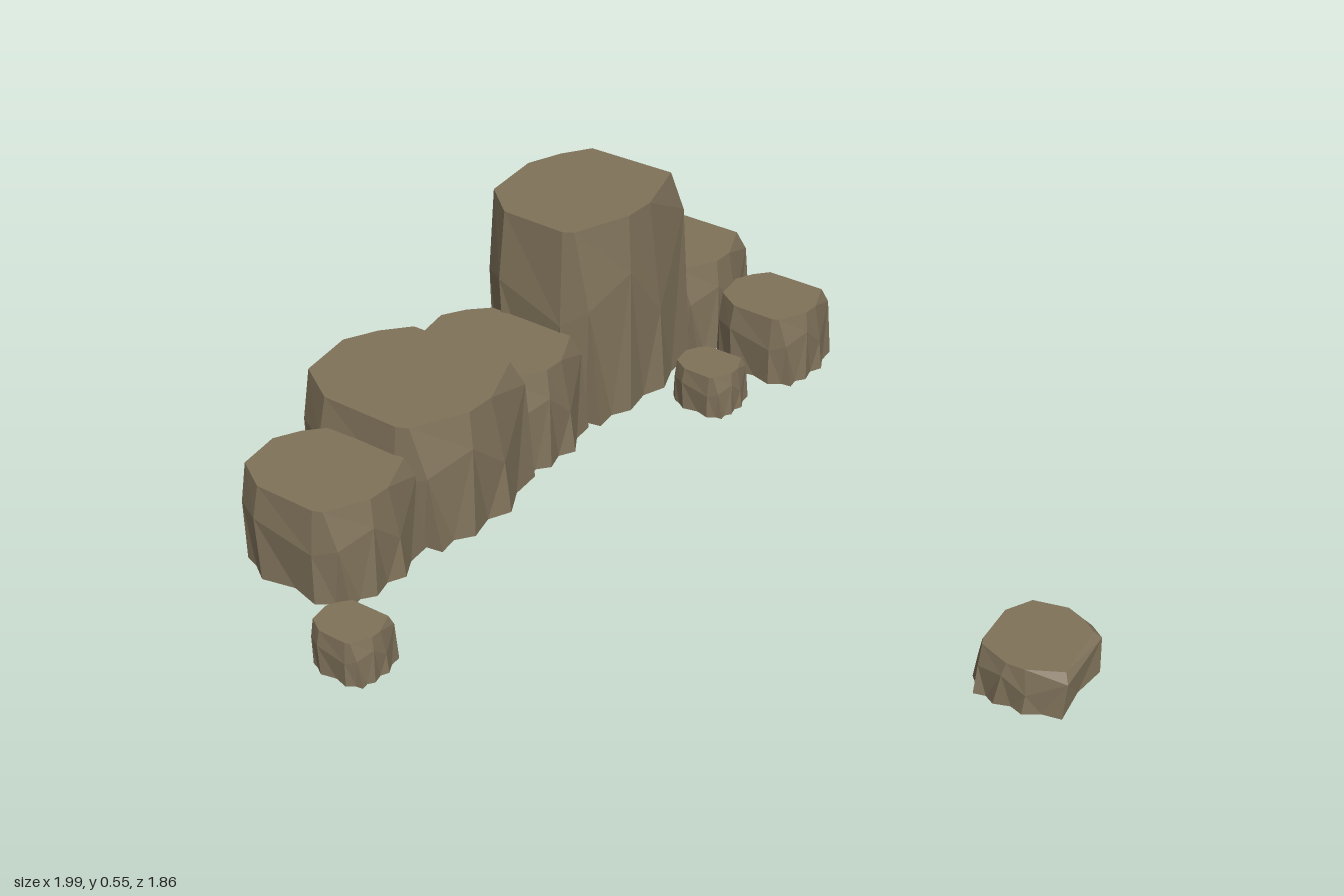
import * as THREE from 'three';

// Unit rock, one row per corner going round from the back:
// top x,z | shoulder x,y,z | foot x,z | crease in the foot before the next corner x,z
const CORNERS = [
  [-.27, -.41, -.31, .84, -.48, -.30, -.50, .03, -.44],
  [.31, -.43, .36, .80, -.48, .40, -.47, .42, -.28],
  [.44, -.09, .47, .42, -.13, .50, -.12, .45, .01],
  [.44, .09, .47, .72, .12, .49, .17, .43, .27],
  [.31, .40, .39, .60, .39, .45, .39, .35, .41],
  [.25, .43, .24, .52, .47, .25, .50, .05, .44],
  [-.18, .43, -.20, .66, .48, -.17, .50, -.29, .41],
  [-.41, .27, -.42, .60, .33, -.39, .37, -.50, .24],
  [-.46, -.07, -.49, .64, -.02, -.43, .05, -.49, -.12],
  [-.38, -.26, -.46, .76, -.31, -.45, -.35, -.39, -.39],
];

function makeRockGeometry() {
  const n = CORNERS.length;
  const top = CORNERS.map(c => [c[0], 1, c[1]]);
  const mid = CORNERS.map(c => [c[2], c[3], c[4]]);
  const foot = CORNERS.flatMap(c => [[c[5], 0, c[6]], [c[7], 0, c[8]]]);
  const points = [];
  const tri = (a, b, c) => points.push(...a, ...b, ...c);
  for (let k = 0; k < n; k++) {
    const next = (k + 1) % n;
    const a = foot[2 * k], crease = foot[2 * k + 1], b = foot[2 * next];
    // flat cap and flat underside
    tri([0, 1, 0], top[next], top[k]);
    tri([0, 0, 0], a, crease);
    tri([0, 0, 0], crease, b);
    // bevel from cap to shoulder
    tri(top[k], top[next], mid[k]);
    tri(top[next], mid[next], mid[k]);
    // pleated lower wall
    tri(mid[k], mid[next], crease);
    tri(mid[k], crease, a);
    tri(mid[next], b, crease);
  }
  const geometry = new THREE.BufferGeometry();
  geometry.setAttribute('position', new THREE.Float32BufferAttribute(points, 3));
  geometry.computeVertexNormals();
  return geometry;
}

// name, centre x, centre z, width, height, depth, turn
const ROCKS = [
  ['ridgeRockBack', -.715, -.775, .39, .25, .31, 0],
  ['ridgeRockTall', -.735, -.42, .43, .545, .48, 0],
  ['ridgeRockMiddle', -.735, -.065, .43, .265, .31, 0],
  ['ridgeRockWide', -.74, .25, .52, .325, .44, 0],
  ['ridgeRockFront', -.71, .585, .40, .25, .33, 0],
  ['sideBoulder', -.38, -.77, .28, .19, .24, 0],
  ['pebbleBack', -.39, -.50, .18, .115, .15, 0],
  ['pebbleFront', -.39, .855, .18, .115, .15, 0],
  ['loneBoulder', .87, .005, .28, .11, .24, -1.47],
];

export function createModel() {
  const model = new THREE.Group();
  model.name = 'rockFormation';
  const stone = new THREE.MeshStandardMaterial({ color: 0x7f725a });
  stone.name = 'brownStone';
  const geometry = makeRockGeometry();
  for (const [name, x, z, w, h, d, turn] of ROCKS) {
    const rock = new THREE.Mesh(geometry, stone);
    rock.name = name;
    rock.position.set(x, 0, z);
    rock.scale.set(w, h, d);
    rock.rotation.y = turn;
    model.add(rock);
  }
  return model;
}
